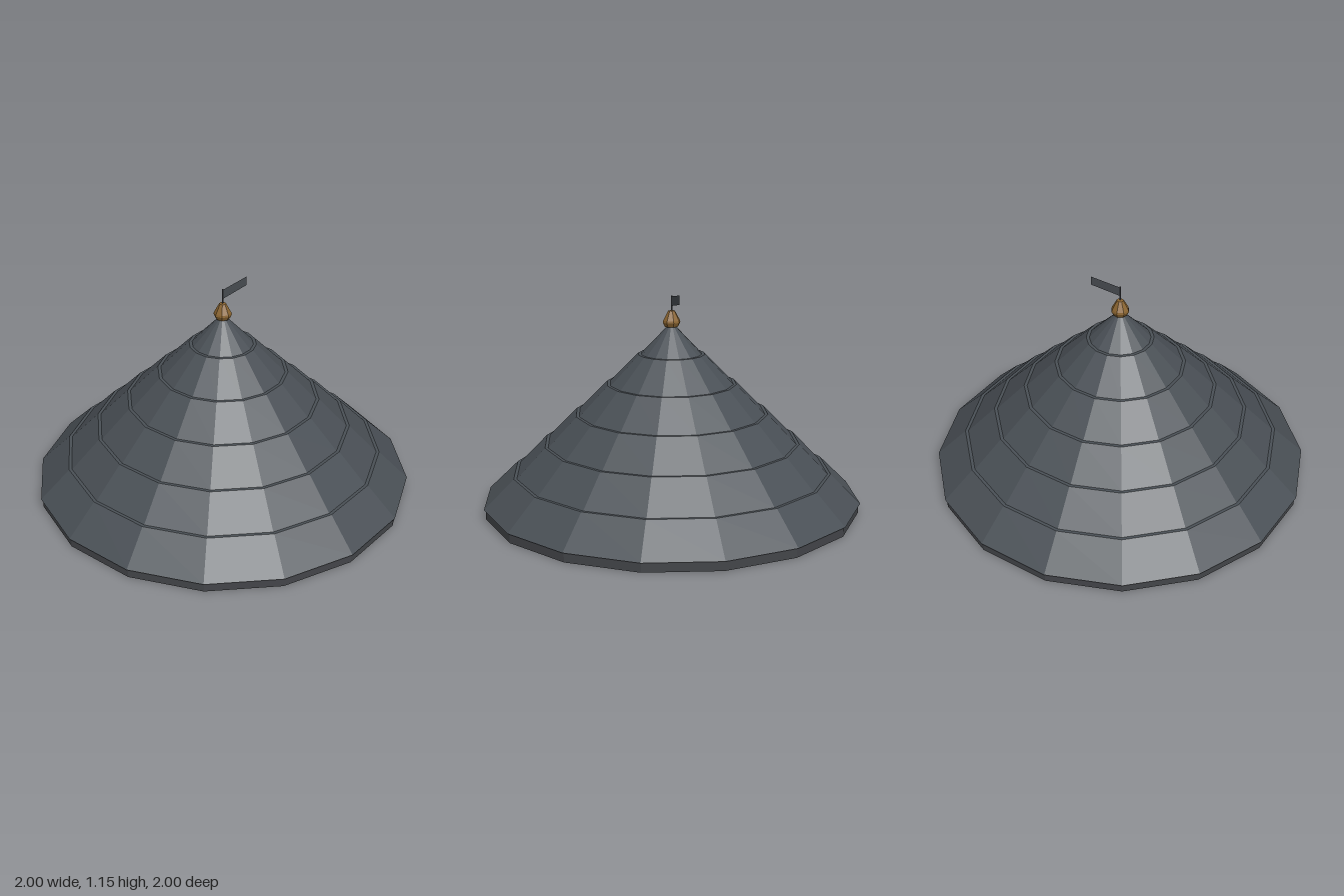
import * as THREE from 'three';

const SIDES = 16, ROWS = 6, EAVE_Y = 0.05, APEX_Y = 0.98;

function material(name, color, extra = {}) {
  const m = new THREE.MeshStandardMaterial({ color, flatShading: true, ...extra });
  m.name = name;
  return m;
}

export function createModel() {
  const group = new THREE.Group();
  group.name = 'conicalRoof';
  const slate = material('slate', 0x4a5056);
  const trim = material('dark trim', 0x434549);
  const gold = material('aged gold', 0x8a6430);
  const cloth = material('flag cloth', 0x474b50, { side: THREE.DoubleSide });

  const add = (name, geometry, mat, y = 0) => {
    const mesh = new THREE.Mesh(geometry, mat);
    mesh.name = name;
    mesh.position.y = y;
    group.add(mesh);
    return mesh;
  };

  // Vertical band under the eaves, closed below
  add('eaveBand', new THREE.CylinderGeometry(0.99, 0.99, EAVE_Y, SIDES), trim, EAVE_Y / 2);

  // Slate courses, each leaving a narrow ledge for the one above
  const profile = [new THREE.Vector2(0.985, EAVE_Y)];
  const step = (APEX_Y - EAVE_Y) / ROWS;
  for (let i = 0; i < ROWS; i++) {
    const low = 1 - i / ROWS - (i ? 0.008 : 0);
    const high = i === ROWS - 1 ? 0.012 : 1 - (i + 1) / ROWS + 0.008;
    profile.push(new THREE.Vector2(low, EAVE_Y + i * step));
    profile.push(new THREE.Vector2(high, EAVE_Y + (i + 1) * step));
  }
  profile.push(new THREE.Vector2(0, APEX_Y));
  add('slateCourses', new THREE.LatheGeometry(profile, SIDES), slate);

  // Faceted finial
  const finial = [[0, 0.968], [0.036, 0.968], [0.047, 0.99], [0.045, 1.0], [0.018, 1.05], [0, 1.053]]
    .map(([r, y]) => new THREE.Vector2(r, y));
  add('finial', new THREE.LatheGeometry(finial, 8), gold);

  // Flag pole and slanted pennant
  add('flagPole', new THREE.CylinderGeometry(0.004, 0.004, 0.09, 6), trim, 1.085);
  const flag = new THREE.Shape([[0, 1.075], [0.158, 1.105], [0.158, 1.153], [0, 1.125]]
    .map(([x, y]) => new THREE.Vector2(x, y)));
  add('flag', new THREE.ShapeGeometry(flag), cloth);

  return group;
}
